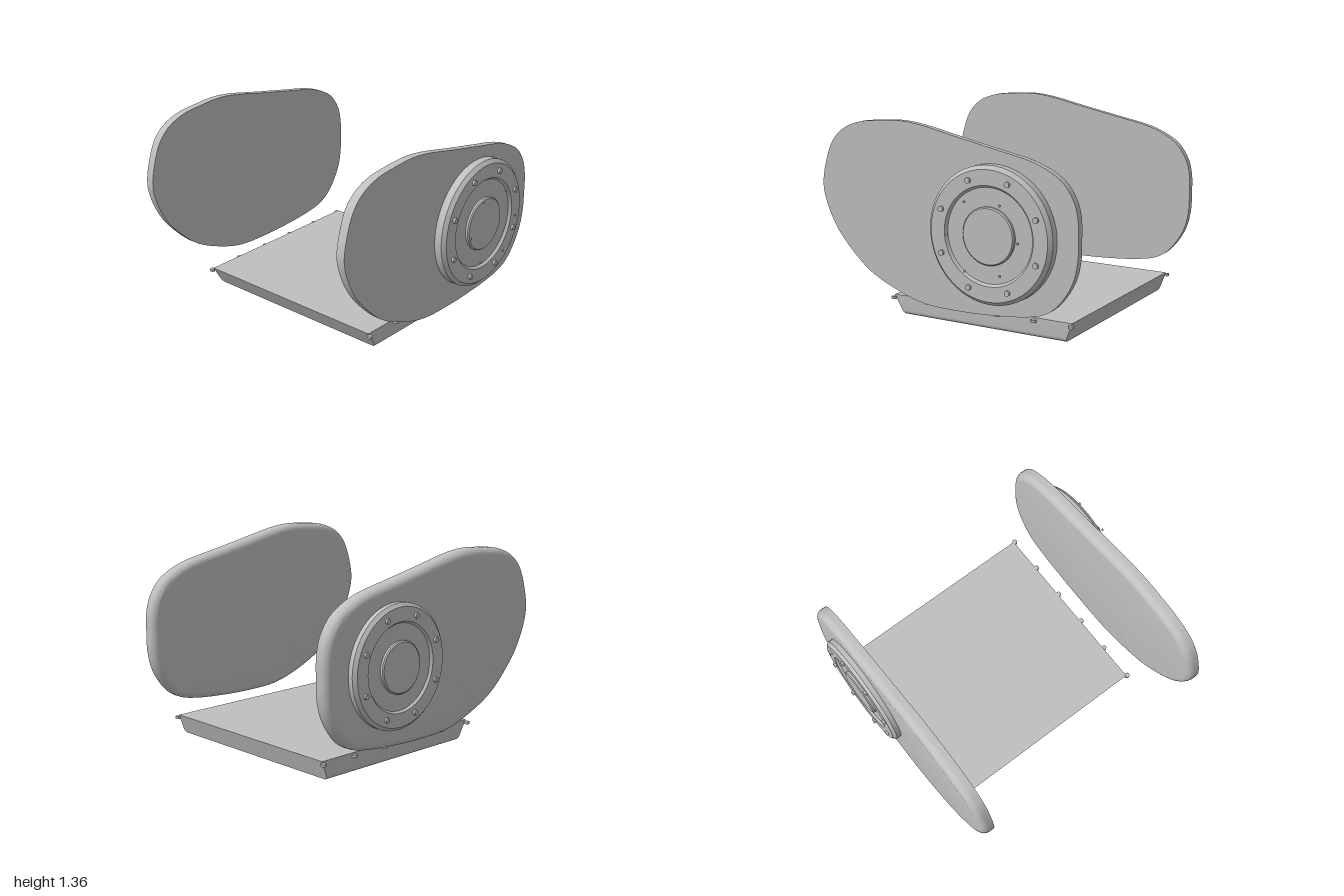
import * as THREE from 'three';
import { toCreasedNormals } from 'three/addons/utils/BufferGeometryUtils.js';

const metal = new THREE.MeshStandardMaterial({ color: 0xbfbfbf });
metal.name = 'grey metal';

function addMesh(parent, name, geometry, x = 0, y = 0, z = 0) {
  const mesh = new THREE.Mesh(geometry, metal);
  mesh.name = name;
  mesh.position.set(x, y, z);
  parent.add(mesh);
  return mesh;
}

// Egg-shaped cover outline, counter-clockwise
const OUTLINE = [
  [-0.947, 0.9], [-0.92, 1.056], [-0.86, 1.2], [-0.775, 1.283], [-0.65, 1.335], [-0.5, 1.355],
  [-0.32, 1.365], [-0.17, 1.35], [0.1, 1.295], [0.36, 1.243], [0.617, 1.19], [0.744, 1.142],
  [0.845, 1.076], [0.92, 0.965], [0.947, 0.85], [0.949, 0.73], [0.947, 0.614], [0.92, 0.487],
  [0.86, 0.376], [0.784, 0.29], [0.7, 0.242], [0.566, 0.213], [0.363, 0.193], [0.11, 0.183],
  [-0.155, 0.195], [-0.348, 0.249], [-0.576, 0.355], [-0.73, 0.487], [-0.845, 0.624], [-0.92, 0.777],
].reverse();

// Plate with a sharp +z rim and a rounded -z rim
function coverGeometry(depth, radius) {
  const n = 128;
  const curve = new THREE.CatmullRomCurve3(
    OUTLINE.map(([x, y]) => new THREE.Vector3(x, y, 0)), true);
  const points = curve.getSpacedPoints(n).slice(0, n);
  const sections = [[0, 0]];
  for (let k = 0; k <= 8; k++) {
    const a = (k / 8) * Math.PI / 2;
    sections.push([radius * (1 - Math.cos(a)), -depth + radius * (1 - Math.sin(a))]);
  }
  const position = [];
  const index = [];
  for (const [inset, z] of sections) {
    points.forEach((p, i) => {
      const t = points[(i + 1) % n].clone().sub(points[(i + n - 1) % n]).normalize();
      position.push(p.x - t.y * inset, p.y + t.x * inset, z);
    });
  }
  const last = (sections.length - 1) * n;
  const front = sections.length * n;
  position.push(0, 0.75, 0, 0, 0.75, -depth);
  for (let i = 0; i < n; i++) {
    const j = (i + 1) % n;
    for (let a = 0; a < last; a += n) {
      const b = a + n;
      index.push(b + i, b + j, a + j, b + i, a + j, a + i);
    }
    index.push(front, i, j, front + 1, last + j, last + i);
  }
  const geometry = new THREE.BufferGeometry();
  geometry.setAttribute('position', new THREE.Float32BufferAttribute(position, 3));
  geometry.setIndex(index);
  return toCreasedNormals(geometry, 0.6);
}

// Turned boss: chamfered rim, recessed ring, raised centre disc
function bossGeometry(profile, direction) {
  const lathe = new THREE.LatheGeometry(profile.map(([r, h]) => new THREE.Vector2(r, h)), 64);
  return toCreasedNormals(lathe.rotateX(direction * Math.PI / 2), 0.4);
}

// Bolts on a circle, axis along z
function boltCircle(parent, name, count, start, circle, radius, length, z) {
  const geometry = new THREE.CylinderGeometry(radius, radius, length, 16).rotateX(Math.PI / 2);
  for (let i = 0; i < count; i++) {
    const a = start + (i / count) * Math.PI * 2;
    addMesh(parent, name, geometry, circle * Math.cos(a), circle * Math.sin(a), z);
  }
}

// Tray with rounded lower edges and ends that slope inward toward the floor
function panGeometry() {
  const z0 = -0.673, z1 = 0.76, bottom = 0.035, top = 0.165, r = 0.03;
  const shape = new THREE.Shape();
  shape.moveTo(z1, top);
  shape.lineTo(z0, top);
  shape.lineTo(z0, bottom + r);
  shape.absarc(z0 + r, bottom + r, r, Math.PI, Math.PI * 1.5, false);
  shape.absarc(z1 - r, bottom + r, r, Math.PI * 1.5, Math.PI * 2, false);
  shape.closePath();
  const geometry = new THREE.ExtrudeGeometry(shape, { depth: 1, bevelEnabled: false, curveSegments: 8 });
  geometry.rotateY(Math.PI / 2);
  const p = geometry.attributes.position;
  for (let i = 0; i < p.count; i++) {
    const t = Math.min(1, (p.getY(i) - bottom) / (top - bottom));
    const left = THREE.MathUtils.lerp(-0.435, -0.512, t);
    const right = THREE.MathUtils.lerp(0.775, 0.822, t);
    p.setX(i, THREE.MathUtils.lerp(left, right, p.getX(i)));
  }
  return toCreasedNormals(geometry, 0.6);
}

export function createModel() {
  const model = new THREE.Group();
  model.name = 'engineCovers';

  // Side covers
  const cover = coverGeometry(0.088, 0.05);
  addMesh(model, 'frontCover', cover, 0, 0, 0.847);
  addMesh(model, 'backCover', cover, 0, 0, -0.843);

  // Front boss with bolts and floating pins
  const frontBoss = new THREE.Group();
  frontBoss.name = 'frontBoss';
  frontBoss.position.set(0.37, 0.713, 0.845);
  model.add(frontBoss);
  addMesh(frontBoss, 'frontBossBody', bossGeometry([
    [0.438, 0], [0.438, 0.054], [0.414, 0.078], [0.316, 0.078], [0.302, 0.06],
    [0.183, 0.06], [0.183, 0.075], [0.175, 0.083], [0, 0.083]], 1));
  boltCircle(frontBoss, 'frontBossBolt', 8, Math.PI / 8, 0.364, 0.018, 0.03, 0.079);
  boltCircle(frontBoss, 'pin', 6, 0, 0.25, 0.008, 0.009, 0.1505);

  // Back boss with bolts
  const backBoss = new THREE.Group();
  backBoss.name = 'backBoss';
  backBoss.position.set(0.369, 0.716, -0.929);
  model.add(backBoss);
  addMesh(backBoss, 'backBossBody', bossGeometry([
    [0.4, 0], [0.4, 0.035], [0.378, 0.056], [0.287, 0.056], [0.275, 0.04],
    [0.167, 0.04], [0.167, 0.056], [0.159, 0.063], [0, 0.063]], -1));
  boltCircle(backBoss, 'backBossBolt', 8, Math.PI / 8, 0.332, 0.017, 0.03, -0.056);

  // Lower pan with edge bolts and hexagonal drain plug
  addMesh(model, 'pan', panGeometry());
  const panBolt = new THREE.CylinderGeometry(0.018, 0.018, 0.016, 16);
  for (let i = 0; i < 6; i++) {
    for (const z of [-0.773, 0.683]) addMesh(model, 'panBolt', panBolt, -0.51 + i * 0.2665, 0.146, z);
  }
  const plug = new THREE.CylinderGeometry(0.041, 0.041, 0.04, 6).rotateY(Math.PI / 6).toNonIndexed();
  plug.computeVertexNormals();
  addMesh(model, 'drainPlug', plug, 0.157, 0.02, -0.04);

  return model;
}
